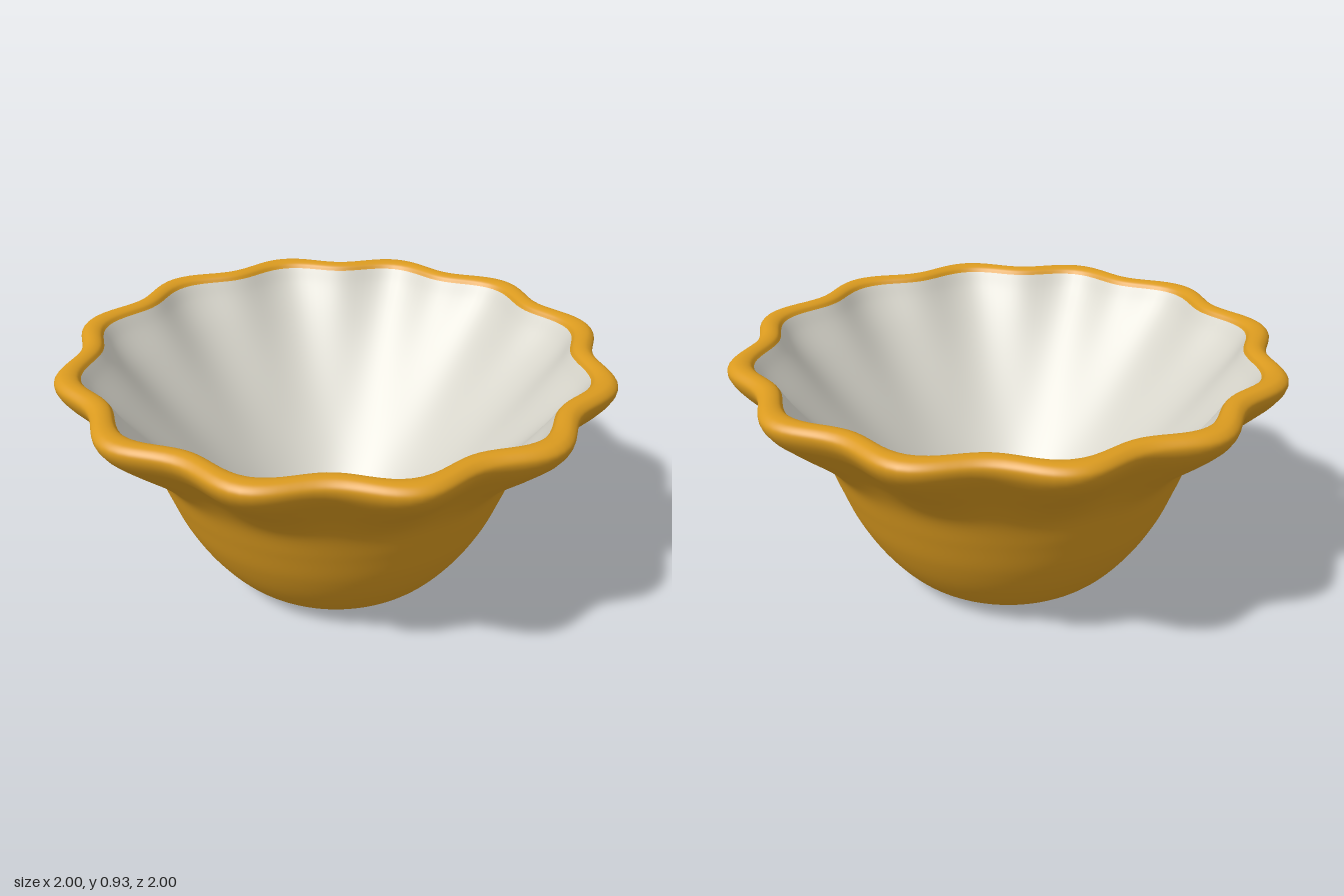
import * as THREE from 'three';
import { mergeVertices } from 'three/addons/utils/BufferGeometryUtils.js';

const LOBES = 12;
const SEGMENTS = 180;

// Lathe whose profile points are [mean radius, height, flute depth]
function flutedLathe(points, samples) {
  const curve = new THREE.CatmullRomCurve3(points.map(p => new THREE.Vector3(...p)), false, 'centripetal');
  const profile = curve.getPoints(samples);
  const rings = profile.map(p => new THREE.Vector2(Math.max(p.x, 0), p.y));
  let geo = new THREE.LatheGeometry(rings, SEGMENTS);
  const pos = geo.attributes.position;
  for (let i = 0; i < pos.count; i++) {
    const p = profile[i % profile.length];
    const a = Math.floor(i / profile.length) / SEGMENTS * Math.PI * 2;
    const r = Math.max(0, p.x + p.z * Math.cos(LOBES * a));
    pos.setXYZ(i, r * Math.sin(a), p.y, r * Math.cos(a));
  }
  // weld the seam so the shading stays smooth all round
  geo.deleteAttribute('normal');
  geo.deleteAttribute('uv');
  geo = mergeVertices(geo, 1e-5);
  geo.computeVertexNormals();
  return geo;
}

export function createModel() {
  const gold = new THREE.MeshStandardMaterial({ color: 0xda9a1f });
  gold.name = 'gold glaze';
  const white = new THREE.MeshStandardMaterial({ color: 0xd8d6cc });
  white.name = 'white glaze';

  const group = new THREE.Group();
  group.name = 'flutedBowl';
  const add = (name, geo, mat) => {
    const mesh = new THREE.Mesh(geo, mat);
    mesh.name = name;
    group.add(mesh);
    return mesh;
  };

  // Outer wall: flat foot, rounded belly, flared fluted lip with a rolled rim
  add('outerWall', flutedLathe([
    [0, 0, 0], [0.15, 0, 0], [0.28, 0.003, 0], [0.36, 0.02, 0], [0.435, 0.07, 0],
    [0.53, 0.185, 0], [0.606, 0.32, 0], [0.656, 0.45, 0], [0.702, 0.57, 0.001],
    [0.772, 0.665, 0.011], [0.868, 0.762, 0.026], [0.938, 0.835, 0.033],
    [0.965, 0.88, 0.034], [0.966, 0.905, 0.034], [0.946, 0.924, 0.034],
    [0.918, 0.928, 0.032], [0.893, 0.92, 0.03], [0.881, 0.905, 0.029],
  ], 110), gold);

  // Inner wall: straight funnel whose flutes fade toward a small centre well
  add('innerWall', flutedLathe([
    [0.881, 0.905, 0.029], [0.845, 0.85, 0.026], [0.77, 0.755, 0.017],
    [0.68, 0.645, 0.009], [0.56, 0.505, 0.003], [0.42, 0.345, 0], [0.28, 0.195, 0],
    [0.19, 0.115, 0], [0.13, 0.085, 0], [0.09, 0.07, 0], [0.062, 0.048, 0], [0.052, 0.02, 0], [0, 0.015, 0],
  ], 90), white);

  // Small dome in the bottom of the well
  const dome = add('centreDome', new THREE.SphereGeometry(0.05, 32, 12, 0, Math.PI * 2, 0, Math.PI / 2), white);
  dome.position.y = 0.017;

  return group;
}
